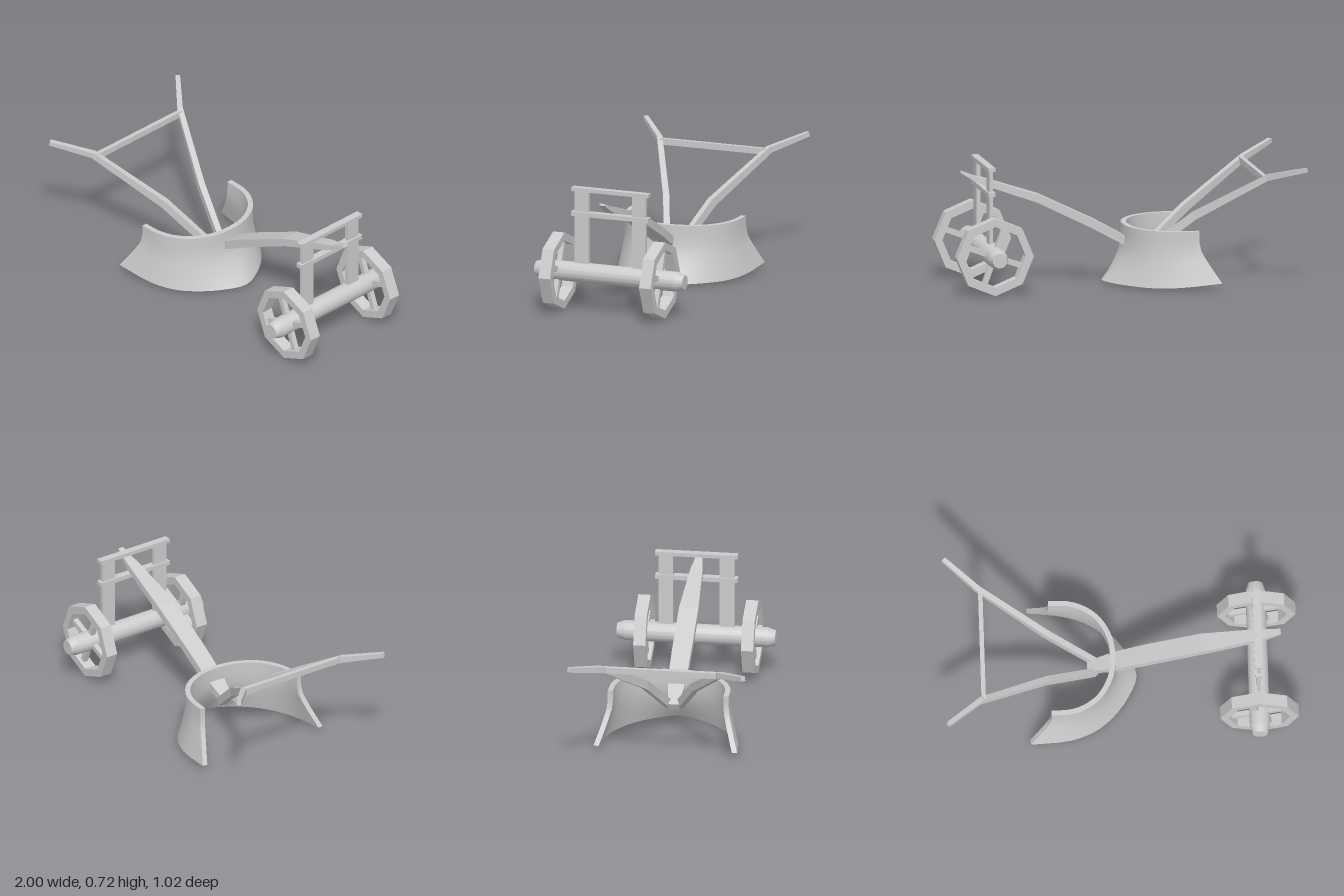
import * as THREE from 'three';
import { toCreasedNormals } from 'three/addons/utils/BufferGeometryUtils.js';

const MID = -0.0125; // centre plane of blade, beam and axle
const grey = new THREE.MeshStandardMaterial({ color: 0xcccccc });
const V = (x, y, z) => new THREE.Vector3(x, y, z);

function add(parent, name, geometry, x = 0, y = 0, z = 0) {
  const mesh = new THREE.Mesh(geometry, grey);
  mesh.name = name;
  mesh.position.set(x, y, z);
  parent.add(mesh);
  return mesh;
}

// Closed solid through a row of equal-sized rings of points, with capped ends.
// Each ring is a loop made of two facing halves, so caps are bridged across.
function loft(rings, crease) {
  const n = rings[0].length, last = rings.length - 1, tris = [];
  const quad = (a, b, c, d) => tris.push([a, b, c], [a, c, d]);
  for (let i = 0; i < last; i++)
    for (let j = 0; j < n; j++) {
      const k = (j + 1) % n;
      quad(rings[i][j], rings[i][k], rings[i + 1][k], rings[i + 1][j]);
    }
  for (let j = 0; j < n / 2 - 1; j++) {
    const a = rings[0], b = rings[last], m = n - 1 - j;
    quad(a[j], a[m], a[m - 1], a[j + 1]);
    quad(b[j], b[j + 1], b[m - 1], b[m]);
  }
  // turn the faces outward if the enclosed volume is negative
  const c = rings[0][0];
  let volume = 0;
  for (const [p, q, r] of tris)
    volume += p.clone().sub(c).dot(q.clone().sub(c).cross(r.clone().sub(c)));
  const points = tris.flatMap(t => (volume < 0 ? [t[0], t[2], t[1]] : t));
  return toCreasedNormals(new THREE.BufferGeometry().setFromPoints(points), crease);
}

// Rectangular bar along a path; rows are [x, y, z, half width, half height].
function bar(rows) {
  const path = rows.map(r => V(r[0], r[1], r[2]));
  const rings = rows.map(([, , , w, h], i) => {
    const before = path[Math.max(i - 1, 0)], after = path[Math.min(i + 1, path.length - 1)];
    const along = after.clone().sub(before).normalize();
    const side = along.clone().cross(V(0, 1, 0)).normalize();
    const up = side.clone().cross(along);
    return [[-1, -1], [1, -1], [1, 1], [-1, 1]].map(([a, b]) =>
      path[i].clone().addScaledVector(side, a * w).addScaledVector(up, b * h));
  });
  return loft(rings, 0.1);
}

// U-shaped blade: upright at the top, flaring outward toward the ground
function bladeGeometry() {
  const mirrored = half => new THREE.CatmullRomCurve3(
    [...half.slice(1).reverse().map(p => V(p.x, p.y, -p.z)), ...half]);
  const top = mirrored([V(-0.03, 0.33, 0), V(-0.045, 0.33, 0.12), V(-0.11, 0.33, 0.24),
    V(-0.2, 0.33, 0.31), V(-0.29, 0.33, 0.34), V(-0.4, 0.33, 0.345)]);
  const bottom = mirrored([V(0.09, 0.01, 0), V(0.04, 0.01, 0.13), V(-0.05, 0.01, 0.25),
    V(-0.15, 0.01, 0.33), V(-0.29, 0.017, 0.385), V(-0.52, 0.038, 0.41)]);
  const levels = [0, 0.2, 0.38, 0.52, 0.66, 0.83, 1];
  const rings = [];
  for (let i = 0; i <= 30; i++) {
    const u = i / 30, a = top.getPoint(u), b = bottom.getPoint(u), t = top.getTangent(u);
    const inward = V(-t.z, 0, t.x).multiplyScalar(0.03);
    const end = Math.abs(2 * u - 1);
    const outer = levels.map(s => {
      const curved = Math.max(0, (s - 0.3) / 0.7) ** 1.6;
      const f = THREE.MathUtils.lerp(curved, Math.max(0, (s - 0.3) / 0.7) ** 1.15, end);
      return V(a.x + (b.x - a.x) * f, a.y + (b.y - a.y) * s, a.z + (b.z - a.z) * f + MID);
    });
    rings.push([...outer, ...outer.map(p => p.clone().add(inward)).reverse()]);
  }
  return loft(rings, 0.7);
}

// Octagonal wheel with four spokes
function wheel(z) {
  const group = new THREE.Group();
  group.name = 'wheel';
  const octagon = (Type, r) => new Type(Array.from({ length: 8 }, (_, i) =>
    new THREE.Vector2(Math.cos(i * Math.PI / 4) * r, Math.sin(i * Math.PI / 4) * r)));
  const shape = octagon(THREE.Shape, 0.222);
  shape.holes.push(octagon(THREE.Path, 0.175));
  const rim = new THREE.ExtrudeGeometry(shape, { depth: 0.07, bevelEnabled: false });
  add(group, 'rim', rim.translate(0, 0, -0.035));
  for (let i = 0; i < 4; i++) {
    const spoke = new THREE.BoxGeometry(0.135, 0.03, 0.03).translate(0.105, 0, 0);
    add(group, 'spoke', spoke).rotation.z = 0.35 + i * Math.PI / 2;
  }
  group.position.set(0.775, 0.222, z);
  return group;
}

export function createModel() {
  const model = new THREE.Group();
  model.name = 'plough';

  add(model, 'blade', bladeGeometry());

  // beam rising from inside the blade to the fore-carriage
  add(model, 'beam', bar([
    [-0.18, 0.16, MID, 0.03, 0.022], [-0.03, 0.242, MID, 0.052, 0.024],
    [0.15, 0.342, MID, 0.055, 0.024], [0.46, 0.495, MID, 0.055, 0.022],
    [0.78, 0.605, MID, 0.034, 0.018], [0.83, 0.623, MID, 0.026, 0.013],
    [0.905, 0.662, MID, 0.016, 0.006]]));

  // pair of handles and the rung between them
  for (const s of [1, -1])
    add(model, s > 0 ? 'leftHandle' : 'rightHandle', bar([
      [-0.14, 0.16, s * 0.03 + MID, 0.017, 0.024], [-0.42, 0.385, s * 0.14, 0.018, 0.024],
      [-0.8, 0.622, s * 0.335, 0.016, 0.018], [-0.99, 0.685, s * 0.497, 0.013, 0.013]]));
  add(model, 'handleRung', new THREE.BoxGeometry(0.025, 0.035, 0.66), -0.785, 0.613, 0);

  // axle with tapered ends
  const section = [[0, -0.4525], [0.042, -0.4525], [0.057, -0.405],
    [0.057, 0.405], [0.042, 0.4525], [0, 0.4525]];
  const axle = new THREE.LatheGeometry(section.map(p => new THREE.Vector2(...p)), 16);
  add(model, 'axle', toCreasedNormals(axle.rotateX(Math.PI / 2), 0.45), 0.775, 0.222, MID);

  model.add(wheel(0.305), wheel(-0.31));

  // upright frame standing on the axle
  for (const s of [1, -1])
    add(model, 'framePost', new THREE.BoxGeometry(0.022, 0.44, 0.085), 0.775, 0.478, MID + s * 0.175);
  add(model, 'topRail', new THREE.BoxGeometry(0.042, 0.022, 0.47), 0.775, 0.706, MID);
  add(model, 'lowerRail', new THREE.BoxGeometry(0.042, 0.026, 0.47), 0.775, 0.564, MID);
  return model;
}
